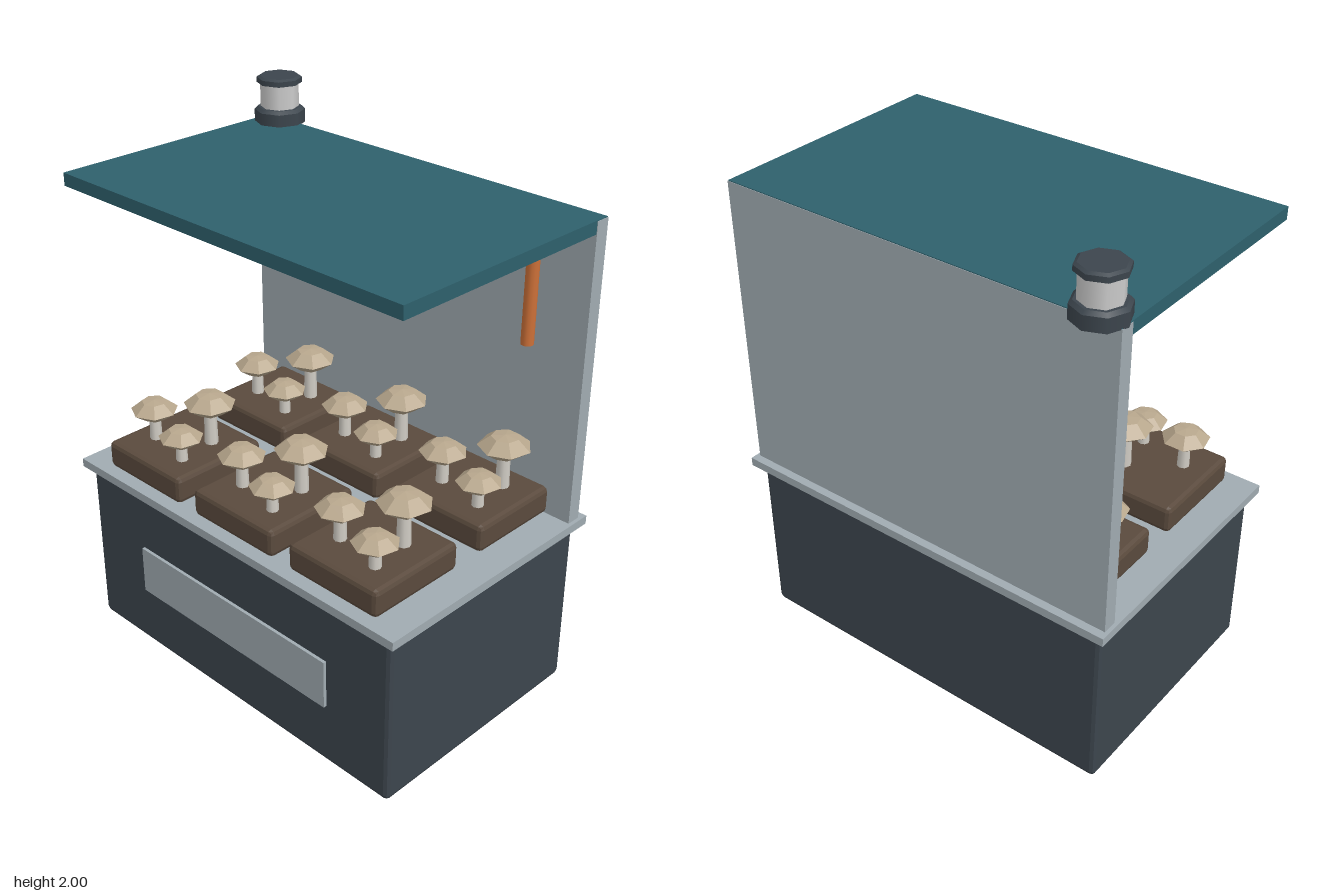
import * as THREE from 'three';
import { RoundedBoxGeometry } from 'three/addons/geometries/RoundedBoxGeometry.js';

const mat = (color, flatShading = false) => new THREE.MeshStandardMaterial({ color, flatShading });
const dark = mat(0x3c454d, true);
const silver = mat(0xa0abb1);
const teal = mat(0x2e606c);
const soil = mat(0x5a4a3d, true);
const copper = mat(0xcc7038);
const lampRed = mat(0xe25c38);
const stemMat = mat(0xd0ccc4);
const capMat = mat(0xb8a78d, true);
const glass = mat(0xdde0e0);
const darkSmooth = mat(0x3c454d);

export function createModel() {
  const model = new THREE.Group();

  const add = (name, geometry, material, x, y, z, parent = model) => {
    const mesh = new THREE.Mesh(geometry, material);
    mesh.name = name;
    mesh.position.set(x, y, z);
    parent.add(mesh);
    return mesh;
  };
  // Box given by its lower and upper corners, with an optional chamfer
  const box = (name, material, [x0, y0, z0], [x1, y1, z1], chamfer = 0, parent = model) => {
    const size = [x1 - x0, y1 - y0, z1 - z0];
    const geometry = chamfer
      ? new RoundedBoxGeometry(...size, 1, chamfer)
      : new THREE.BoxGeometry(...size);
    return add(name, geometry, material, (x0 + x1) / 2, (y0 + y1) / 2, (z0 + z1) / 2, parent);
  };

  // Cabinet, front plate and counter
  box('cabinet', dark, [-0.765, 0, -0.457], [0.765, 0.67, 0.5], 0.018);
  box('frontPlate', silver, [-0.48, 0.245, 0.498], [0.48, 0.435, 0.512]);
  box('counter', silver, [-0.795, 0.667, -0.49], [0.795, 0.7, 0.525]);

  // Back wall, roof and the lamp beneath it
  box('backWall', silver, [-0.781, 0.7, -0.459], [0.781, 1.824, -0.403]);
  box('roof', teal, [-0.779, 1.78, -0.457], [0.779, 1.827, 0.5]);
  box('lampBar', lampRed, [-0.48, 1.753, -0.018], [0.48, 1.781, 0.058]);

  // Copper tubes in front of the wall
  for (const side of [-1, 1]) {
    add('copperTube', new THREE.CylinderGeometry(0.023, 0.023, 0.385, 12), copper,
      side * 0.575, 1.537, -0.363);
  }

  // Mushroom beds: three columns, two rows, three mushrooms each
  const capProfile = [[0, -1], [0.48, -0.85], [1, 0], [0.52, 0.87], [0, 1]]
    .map(([r, y]) => new THREE.Vector2(r, y));
  const capGeometry = new THREE.LatheGeometry(capProfile, 7);
  const mushrooms = [ // x, z, cap middle height, cap radius
    [-0.095, 0.058, 0.925, 0.088],
    [0.077, -0.065, 0.967, 0.097],
    [0.097, 0.094, 0.898, 0.083],
  ];
  for (const z of [0.28, -0.237]) {
    for (const x of [-0.48, 0, 0.48]) {
      const bed = new THREE.Group();
      bed.name = 'mushroomBed';
      bed.position.set(x, 0, z);
      model.add(bed);
      box('soilBlock', soil, [-0.2, 0.7, -0.2], [0.2, 0.805, 0.2], 0.018, bed);
      for (const [mx, mz, y, r] of mushrooms) {
        const height = y - 0.795;
        add('stem', new THREE.CylinderGeometry(r * 0.23, r * 0.27, height, 8), stemMat,
          mx, 0.795 + height / 2, mz, bed);
        add('cap', capGeometry, capMat, mx, y, mz, bed).scale.set(r, r * 0.45, r);
      }
    }
  }

  // Beacon on the rear corner of the roof
  const beacon = new THREE.Group();
  beacon.name = 'beacon';
  beacon.position.set(-0.692, 0, -0.434);
  model.add(beacon);
  const disc = (name, material, top, bottom, y0, y1) =>
    add(name, new THREE.CylinderGeometry(top, bottom, y1 - y0, 8), material, 0, (y0 + y1) / 2, 0, beacon);
  disc('beaconBase', darkSmooth, 0.095, 0.095, 1.822, 1.872);
  disc('beaconCollar', darkSmooth, 0.083, 0.095, 1.872, 1.884);
  disc('beaconGlass', glass, 0.072, 0.072, 1.88, 1.98);
  disc('beaconCap', darkSmooth, 0.085, 0.085, 1.974, 1.993);
  disc('beaconCapTop', darkSmooth, 0.074, 0.085, 1.993, 2);

  return model;
}
